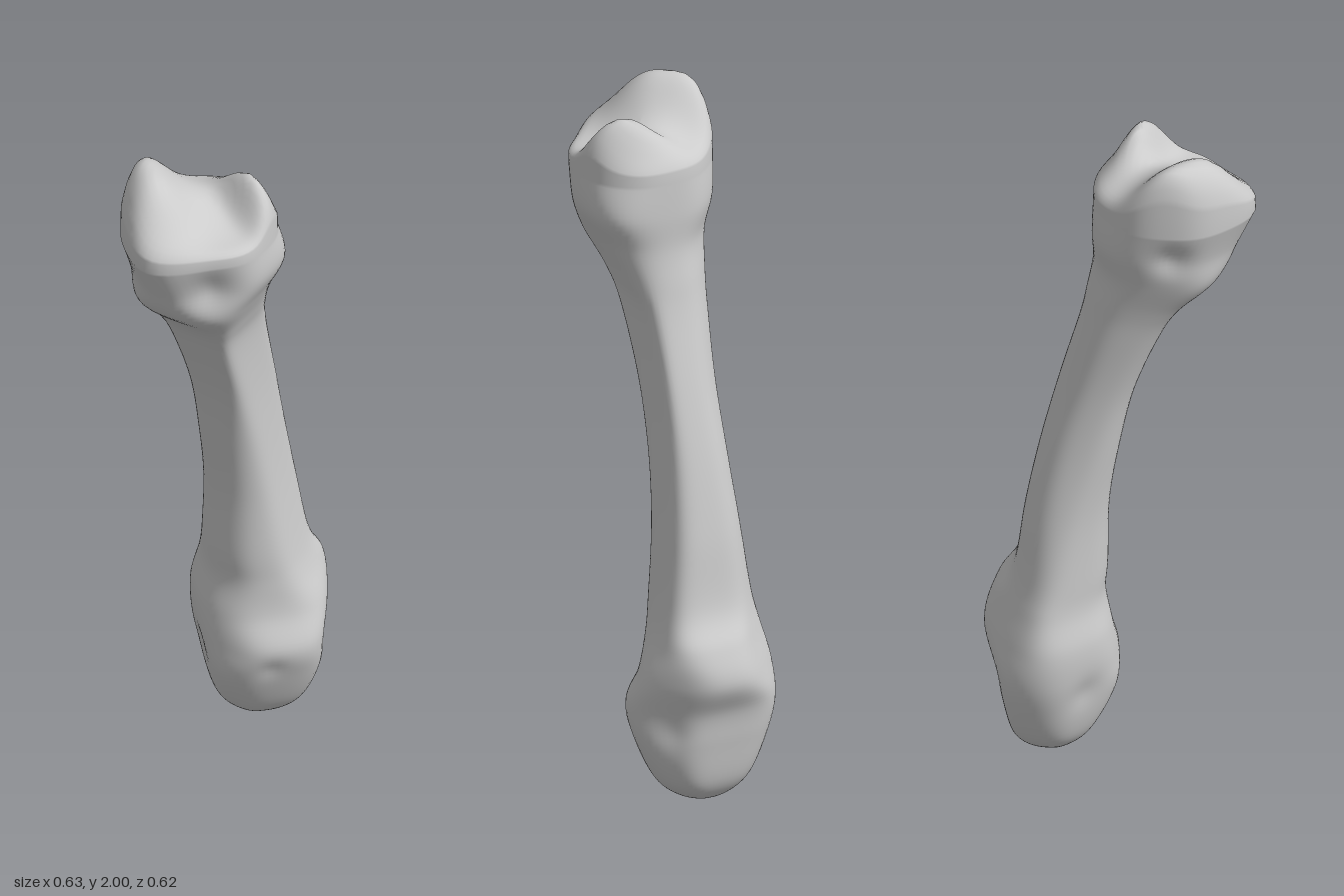
import * as THREE from 'three';

// Cross-sections from lower head to upper base. Each row: height, then the extents
// along x, z, u = (x+z)/sqrt2 and v = (x-z)/sqrt2, as min and max pairs.
const SECTIONS = [
  [0.00, 0.115, 0.125, -0.125, -0.115, -0.005, 0.005, 0.165, 0.175],
  [0.02, 0.055, 0.185, -0.19, -0.055, -0.065, 0.075, 0.105, 0.23],
  [0.08, 0.0, 0.247, -0.255, 0.005, -0.128, 0.148, 0.045, 0.272],
  [0.20, -0.033, 0.282, -0.302, 0.055, -0.18, 0.21, -0.015, 0.295],
  [0.30, -0.05, 0.288, -0.32, 0.082, -0.207, 0.226, -0.015, 0.312],
  [0.40, -0.052, 0.312, -0.298, 0.043, -0.21, 0.20, -0.003, 0.355],
  [0.50, -0.03, 0.312, -0.268, 0.033, -0.187, 0.158, 0.018, 0.328],
  [0.60, -0.028, 0.267, -0.243, 0.033, -0.16, 0.135, 0.012, 0.27],
  [0.80, -0.033, 0.228, -0.213, 0.033, -0.129, 0.109, 0.008, 0.239],
  [1.00, -0.058, 0.193, -0.173, 0.053, -0.109, 0.094, -0.022, 0.199],
  [1.20, -0.093, 0.163, -0.128, 0.098, -0.104, 0.089, -0.067, 0.149],
  [1.40, -0.158, 0.128, -0.093, 0.173, -0.114, 0.099, -0.145, 0.094],
  [1.50, -0.208, 0.115, -0.078, 0.216, -0.125, 0.127, -0.205, 0.074],
  [1.60, -0.278, 0.122, -0.067, 0.283, -0.148, 0.172, -0.305, 0.058],
  [1.70, -0.29, 0.152, -0.087, 0.298, -0.172, 0.22, -0.36, 0.058],
  [1.80, -0.318, 0.125, -0.08, 0.312, -0.188, 0.22, -0.412, 0.056],
];
const SIDES = 72, STEPS = 7, R2 = Math.SQRT1_2;

// Hollows: x, y, z, radius, depth
const DENTS = [
  [-0.11, 1.71, 0.28, 0.07, 0.03],
  [-0.26, 1.71, 0.01, 0.05, 0.022],
  [0.12, 0.25, 0.05, 0.035, 0.012],
  [0.28, 0.24, -0.08, 0.05, 0.01],
  [-0.04, 0.24, -0.12, 0.05, 0.01],
];

// Smooth interpolation between neighbouring sections
function sectionAt(t) {
  const n = SECTIONS.length - 1, i = Math.min(Math.floor(t), n - 1), f = t - i;
  const [a, b, c, d] = [-1, 0, 1, 2].map((k) => SECTIONS[THREE.MathUtils.clamp(i + k, 0, n)]);
  return b.map((_, k) => 0.5 * (2 * b[k] + (c[k] - a[k]) * f
    + (2 * a[k] - 5 * b[k] + 4 * c[k] - d[k]) * f * f
    + (3 * b[k] - a[k] - 3 * c[k] + d[k]) * f * f * f));
}

// Rounded eight-sided outline that fits the section's extents
function outline([y, x0, x1, z0, z1, u0, u1, v0, v1]) {
  const cx = (x0 + x1) / 2, cz = (z0 + z1) / 2;
  const cu = (cx + cz) * R2, cv = (cx - cz) * R2;
  const reach = [x1 - cx, u1 - cu, z1 - cz, cv - v0, cx - x0, cu - u0, cz - z0, v1 - cv];
  const ring = [];
  for (let j = 0; j < SIDES; j++) {
    const a = (j / SIDES) * Math.PI * 2;
    let sum = 0;
    reach.forEach((h, k) => {
      sum += Math.max(0, Math.cos(a - k * Math.PI / 4) / Math.max(h, 0.002)) ** 9;
    });
    const r = sum ** (-1 / 9);
    ring.push(new THREE.Vector3(cx + r * Math.cos(a), Math.max(y, 0), cz + r * Math.sin(a)));
  }
  return { ring, cx, cz };
}

// Saddle-shaped joint surface: a long ridge, a shorter slanted ridge and the valley between
function jointHeight(x, z) {
  const bell = (d, width, power = 2) => Math.exp(-(Math.abs(d / width) ** power));
  return 1.84 + 0.158 * bell(x + 0.235, 0.105) * bell(z - 0.07, 0.17, 3)
    + 0.045 * bell(x + 0.07, 0.1) * bell(z - 0.08, 0.11)
    + 0.12 * bell(x - 0.038 - 0.3 * (z - 0.1), 0.055) * bell(z - 0.135, 0.11);
}

function boneGeometry() {
  const rings = [];
  // Head, shaft and base
  const count = (SECTIONS.length - 1) * STEPS;
  let top;
  for (let i = 0; i <= count; i++) {
    top = outline(sectionAt(i / STEPS));
    for (const p of top.ring) {
      let push = 0;
      for (const [x, y, z, r, depth] of DENTS) {
        const d2 = (p.x - x) ** 2 + (p.y - y) ** 2 + (p.z - z) ** 2;
        push += depth * Math.exp(-d2 / (r * r));
      }
      const len = Math.hypot(p.x - top.cx, p.z - top.cz);
      p.x -= (push * (p.x - top.cx)) / len;
      p.z -= (push * (p.z - top.cz)) / len;
    }
    rings.push(top.ring);
  }
  // Rounded rim running into the joint surface
  const { ring: rim, cx, cz } = top;
  for (const s of [0.995, 0.98, 0.95, 0.9, 0.83, 0.75, 0.66, 0.56, 0.46, 0.36, 0.26, 0.16, 0.08, 0.001]) {
    rings.push(rim.map((p) => {
      const x = cx + (p.x - cx) * s, z = cz + (p.z - cz) * s;
      const y = jointHeight(x, z);
      return new THREE.Vector3(x, y - 0.45 * (y - 1.8) * s ** 20, z);
    }));
  }

  const index = [];
  for (let i = 0; i < rings.length - 1; i++) {
    for (let j = 0; j < SIDES; j++) {
      const k = (j + 1) % SIDES;
      const a = i * SIDES + j, b = a + SIDES, c = i * SIDES + k, d = c + SIDES;
      index.push(a, b, c, b, d, c);
    }
  }
  // Close the tip of the head
  for (let j = 1; j < SIDES - 1; j++) index.push(0, j, j + 1);

  const geometry = new THREE.BufferGeometry().setFromPoints(rings.flat());
  geometry.setIndex(index);
  geometry.computeVertexNormals();
  return geometry;
}

export function createModel() {
  const group = new THREE.Group();
  group.name = 'footBone';
  const bone = new THREE.Mesh(boneGeometry(), new THREE.MeshStandardMaterial({ color: 0xcccccc }));
  bone.name = 'bone';
  group.add(bone);
  return group;
}
